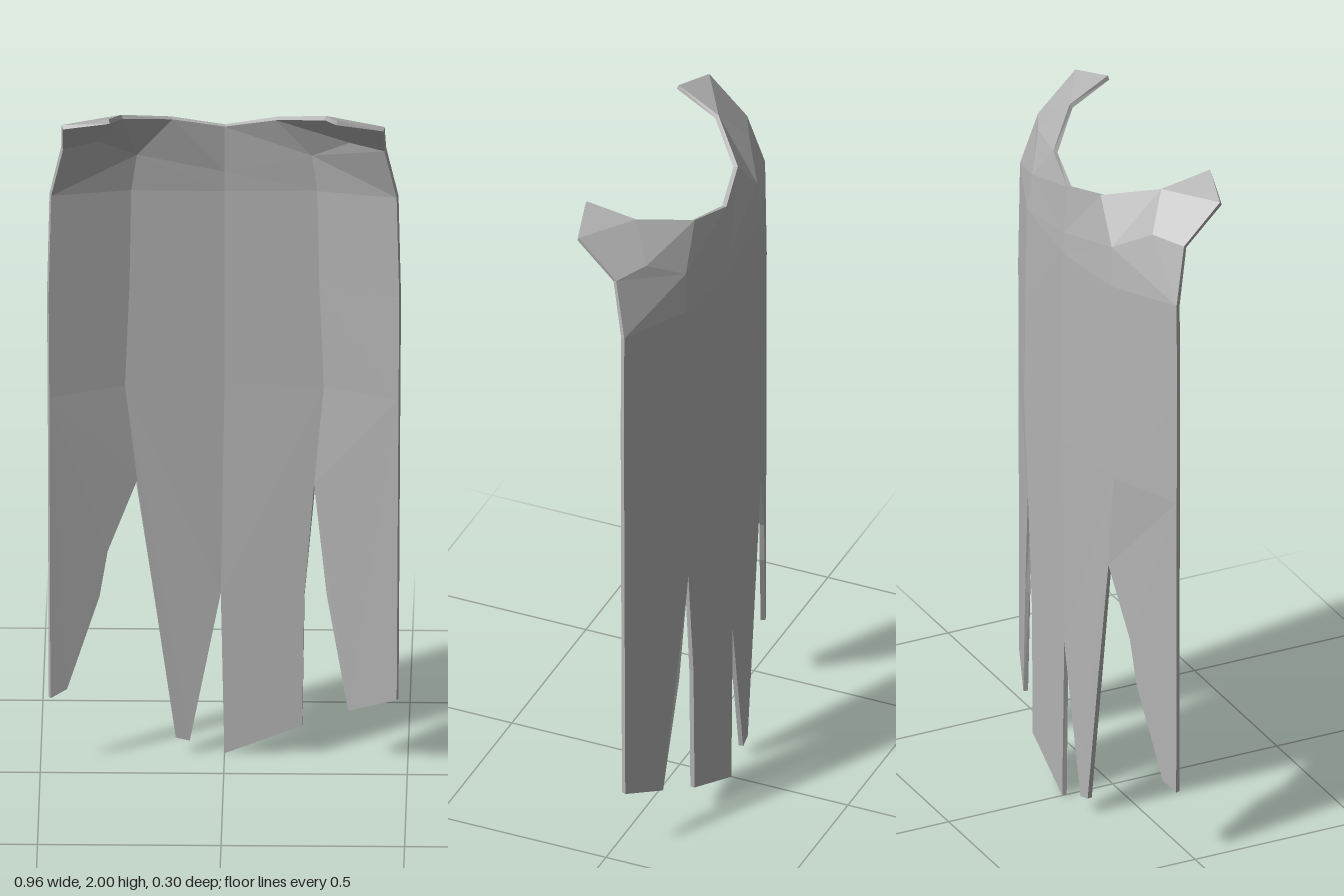
import * as THREE from 'three';

const THICKNESS = 0.013;

// Depth of the hanging cloth: two flat back panels folding into two side panels.
function drape(x) {
  const a = Math.abs(x);
  return a < 0.26 ? -0.147 + (a / 0.26) * 0.02 : -0.127 + ((a - 0.26) / 0.215) * 0.087;
}

// Turns outlines of [x, y, z?] into one welded sheet facing +z.
function buildSheet(outlines) {
  const positions = [], index = [], seen = new Map();
  const vertex = ([x, y, z = drape(x)]) => {
    const key = `${x.toFixed(3)},${y.toFixed(3)}`;
    if (!seen.has(key)) {
      seen.set(key, positions.length);
      positions.push(new THREE.Vector3(x, y, z));
    }
    return seen.get(key);
  };
  for (const source of outlines) {
    const clockwise = THREE.ShapeUtils.isClockWise(source.map(([x, y]) => new THREE.Vector2(x, y)));
    const outline = clockwise ? [...source].reverse() : source;
    const flat = outline.map(([x, y]) => new THREE.Vector2(x, y));
    for (const tri of THREE.ShapeUtils.triangulateShape(flat, [])) {
      const [a, b, c] = tri.map((i) => flat[i]);
      const area = (b.x - a.x) * (c.y - a.y) - (b.y - a.y) * (c.x - a.x);
      const ids = tri.map((i) => vertex(outline[i]));
      index.push(...(area < 0 ? ids.reverse() : ids));
    }
  }
  const sheet = new THREE.BufferGeometry().setFromPoints(positions);
  sheet.setIndex(index);
  sheet.computeVertexNormals();
  return sheet;
}

// Gives a sheet thickness: front skin, back skin and walls along open edges.
function thicken(sheet, t) {
  const p = sheet.attributes.position, n = sheet.attributes.normal, id = sheet.index.array;
  const side = (offset) => Array.from({ length: p.count }, (_, i) =>
    new THREE.Vector3().fromBufferAttribute(p, i)
      .addScaledVector(new THREE.Vector3().fromBufferAttribute(n, i), offset));
  const front = side(t / 2), back = side(-t / 2), out = [];
  const edges = new Set();
  for (let i = 0; i < id.length; i += 3) {
    const [a, b, c] = [id[i], id[i + 1], id[i + 2]];
    out.push(front[a], front[b], front[c], back[a], back[c], back[b]);
    [[a, b], [b, c], [c, a]].forEach(([u, v]) => edges.add(`${u}_${v}`));
  }
  for (const edge of edges) {
    const [u, v] = edge.split('_').map(Number);
    if (edges.has(`${v}_${u}`)) continue;
    out.push(front[u], back[u], back[v], front[u], back[v], front[v]);
  }
  const solid = new THREE.BufferGeometry().setFromPoints(out);
  solid.computeVertexNormals();
  return solid;
}

export function createModel() {
  const cloth = new THREE.MeshStandardMaterial({ color: 0xb4b4b4 });
  cloth.name = 'grey cloth';

  // Hanging rows, one half: centre, fold, outer edge
  const rows = [
    [[0, 1.67, -0.147], [0.255, 1.68, -0.127], [0.473, 1.7, -0.038]],
    [[0, 1.4, -0.148], [0.26, 1.4, -0.128], [0.48, 1.4, -0.04]],
    [[0, 1.1, -0.148], [0.272, 1.1, -0.127], [0.478, 1.1, -0.04]],
  ];
  // Neckline, shoulder flap and yoke points, one half
  const neck = [0, 1.868, -0.132], collar = [0.143, 1.902, -0.103];
  const shoulder = [0.277, 1.953, 0.012], flapIn = [0.31, 1.995, 0.143];
  const flapOut = [0.438, 1.963, 0.11], armhole = [0.44, 1.856, 0.0];
  const yokeMid = [0, 1.73, -0.143], yokeFold = [0.24, 1.79, -0.118];
  const yokeSide = [0.345, 1.86, -0.048];
  const [centre, fold, outer] = rows[0];

  const half = [
    [neck, yokeMid, yokeFold, collar],
    [collar, yokeFold, yokeSide, shoulder],
    [shoulder, yokeSide, armhole, flapOut],
    [shoulder, flapOut, flapIn],
    [yokeMid, centre, fold, yokeFold],
    [yokeFold, fold, outer],
    [yokeFold, outer, armhole, yokeSide],
  ];
  for (let r = 0; r < 2; r++) {
    for (let c = 0; c < 2; c++) {
      half.push([rows[r][c], rows[r + 1][c], rows[r + 1][c + 1], rows[r][c + 1]]);
    }
  }
  const flip = ([x, y, z]) => [x === 0 ? 0 : -x, y, z];
  const mirrored = half.map((outline) => outline.map(flip));

  // Torn strips below the last row
  const [hemC, hemF, hemO] = rows[2];
  const strips = [
    [hemF, hemO, [0.473, 0.21], [0.34, 0.155], [0.282, 0.49], [0.246, 0.81]],
    [hemC, hemF, [0.246, 0.81], [0.218, 0.48], [0.212, 0.095], [0, 0.005], [-0.01, 0.48]],
    [hemC, [-0.01, 0.48], [-0.095, 0.045], [-0.133, 0.055], [-0.188, 0.45], [-0.24, 0.82], flip(hemF)],
    [flip(hemF), [-0.24, 0.82], [-0.32, 0.62], [-0.342, 0.49], [-0.43, 0.23], [-0.475, 0.21], flip(hemO)],
  ];

  const cape = new THREE.Mesh(thicken(buildSheet([...half, ...mirrored, ...strips]), THICKNESS), cloth);
  cape.name = 'tatteredCape';
  const group = new THREE.Group();
  group.name = 'cape';
  group.add(cape);
  return group;
}
